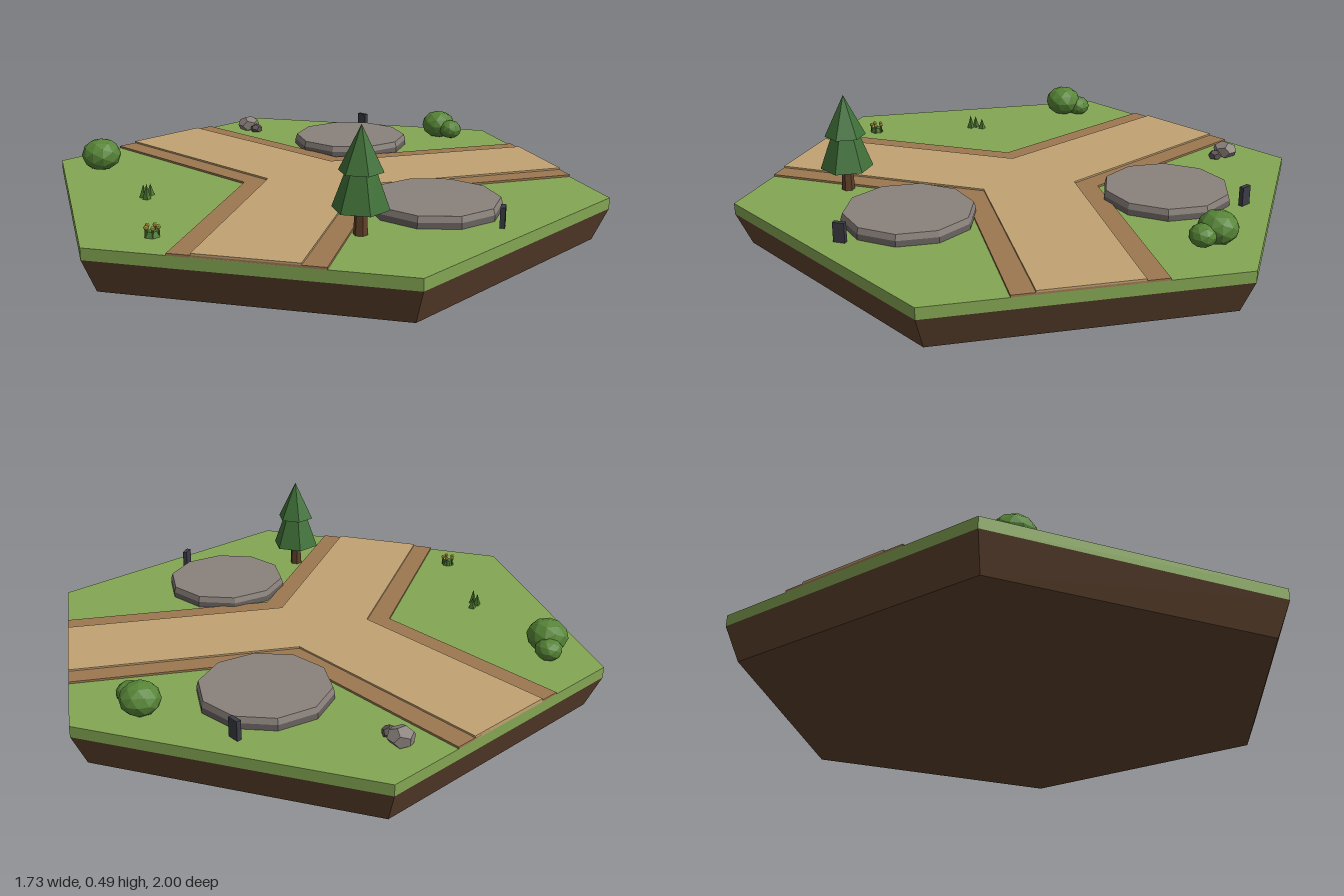
import * as THREE from 'three';

const GROUND = 0.15;
const APOTHEM = Math.sqrt(3) / 2;

const paint = (color) => new THREE.MeshStandardMaterial({ color, flatShading: true });
const mats = {
  grass: paint(0x84a653), dirt: paint(0x5e432e), sand: paint(0xc2a273), verge: paint(0x9b7850),
  stone: paint(0x8a817b), stoneDark: paint(0x6a6462), post: paint(0x3c3d45), trunk: paint(0x5f4029),
  pine: paint(0x3f7038), bush: paint(0x578537), rock: paint(0x8b827d), rockDark: paint(0x5d5653),
  blade: paint(0x4f7a33), petal: paint(0xd8c24a),
};

function add(parent, name, geometry, material, x = 0, y = 0, z = 0) {
  const mesh = new THREE.Mesh(geometry, material);
  mesh.name = name;
  mesh.position.set(x, y, z);
  parent.add(mesh);
  return mesh;
}

function addGroup(parent, name, x, y, z) {
  const group = new THREE.Group();
  group.name = name;
  group.position.set(x, y, z);
  parent.add(group);
  return group;
}

// Upright prism or frustum standing on y
function drum(parent, name, material, rTop, rBottom, y, height, sides, x = 0, z = 0) {
  const geometry = new THREE.CylinderGeometry(rTop, rBottom, height, sides);
  return add(parent, name, geometry, material, x, y + height / 2, z);
}

// Three-armed road slab reaching the middle of every other hexagon edge
function roadSlab(halfWidth, height) {
  const points = [];
  for (let i = 0; i < 3; i++) {
    const a = (i * Math.PI * 2) / 3;
    const centre = new THREE.Vector2();
    points.push(
      new THREE.Vector2(APOTHEM, -halfWidth).rotateAround(centre, a),
      new THREE.Vector2(APOTHEM, halfWidth).rotateAround(centre, a),
      new THREE.Vector2(halfWidth / APOTHEM, 0).rotateAround(centre, a + Math.PI / 3),
    );
  }
  const geometry = new THREE.ExtrudeGeometry(new THREE.Shape(points), { depth: height, bevelEnabled: false });
  return geometry.rotateX(-Math.PI / 2);
}

function addPad(parent, side) {
  const pad = addGroup(parent, 'stonePad', 0.26, GROUND, 0.44 * side);
  drum(pad, 'padFoot', mats.stoneDark, 0.22, 0.22, 0, 0.02, 10);
  drum(pad, 'padTop', mats.stone, 0.214, 0.22, 0.02, 0.02, 10);
  // Marker slab behind the pad
  const post = add(parent, 'markerPost', new THREE.BoxGeometry(0.016, 0.068, 0.04), mats.post,
    0.39, GROUND + 0.032, 0.67 * side);
  post.rotation.y = -side * Math.PI / 6;
}

function addTree(parent, x, z) {
  const tree = addGroup(parent, 'pineTree', x, GROUND, z);
  drum(tree, 'trunk', mats.trunk, 0.018, 0.023, 0, 0.09, 6);
  drum(tree, 'lowerFoliage', mats.pine, 0.046, 0.09, 0.082, 0.12, 6);
  drum(tree, 'upperFoliage', mats.pine, 0, 0.07, 0.197, 0.143, 6);
}

function addBlob(parent, name, geometry, material, x, y, z, r, squash, turn) {
  const blob = add(parent, name, geometry, material, x, y, z);
  blob.scale.set(r, r * squash, r);
  blob.rotation.y = turn;
}

export function createModel() {
  const model = new THREE.Group();
  model.name = 'hexRoadTile';

  // Ground
  drum(model, 'dirtBase', mats.dirt, 1, 0.95, 0, 0.112, 6);
  drum(model, 'grassLayer', mats.grass, 1, 1, 0.112, GROUND - 0.112, 6);

  // Road
  add(model, 'roadVerge', roadSlab(0.235, 0.007), mats.verge, 0, GROUND, 0);
  add(model, 'roadSurface', roadSlab(0.162, 0.013), mats.sand, 0, GROUND, 0);

  for (const side of [1, -1]) addPad(model, side);
  addTree(model, -0.05, 0.615);

  // Bushes: x, y, z, radius
  const leafBall = new THREE.IcosahedronGeometry(1, 1);
  [[-0.73, 0.205, -0.34, 0.071], [-0.71, 0.185, -0.4, 0.047],
    [0.65, 0.2, -0.465, 0.066], [0.677, 0.19, -0.405, 0.045]].forEach(([x, y, z, r], i) =>
    addBlob(model, 'bush', leafBall, mats.bush, x, y, z, r, 0.83, i * 0.7));

  // Rocks
  const boulder = new THREE.DodecahedronGeometry(1);
  addBlob(model, 'rock', boulder, mats.rock, -0.077, 0.172, -0.8, 0.045, 0.75, 0.4);
  addBlob(model, 'smallRock', boulder, mats.rockDark, -0.055, 0.162, -0.752, 0.025, 0.8, 1.1);

  // Grass blades
  const tuft = addGroup(model, 'grassTuft', 0, GROUND, 0);
  [[-0.628, 0.058, 0.045], [-0.602, 0.037, 0.04], [-0.62, 0.08, 0.052]].forEach(([x, z, h]) =>
    drum(tuft, 'grassBlade', mats.blade, 0, 0.014, 0, h, 4, x, z));

  // Flower clump
  const clump = addGroup(model, 'flowerClump', -0.652, GROUND, 0.46);
  drum(clump, 'clumpLeaves', mats.blade, 0.016, 0.024, 0, 0.018, 6);
  const flower = new THREE.IcosahedronGeometry(0.008, 0);
  for (let i = 0; i < 5; i++) {
    const a = (i * Math.PI * 2) / 5;
    const x = 0.02 * Math.sin(a), z = 0.02 * Math.cos(a);
    drum(clump, 'flowerStem', mats.blade, 0.003, 0.004, 0, 0.028, 4, x, z);
    add(clump, 'flowerHead', flower, mats.petal, x, 0.031, z);
  }

  return model;
}
